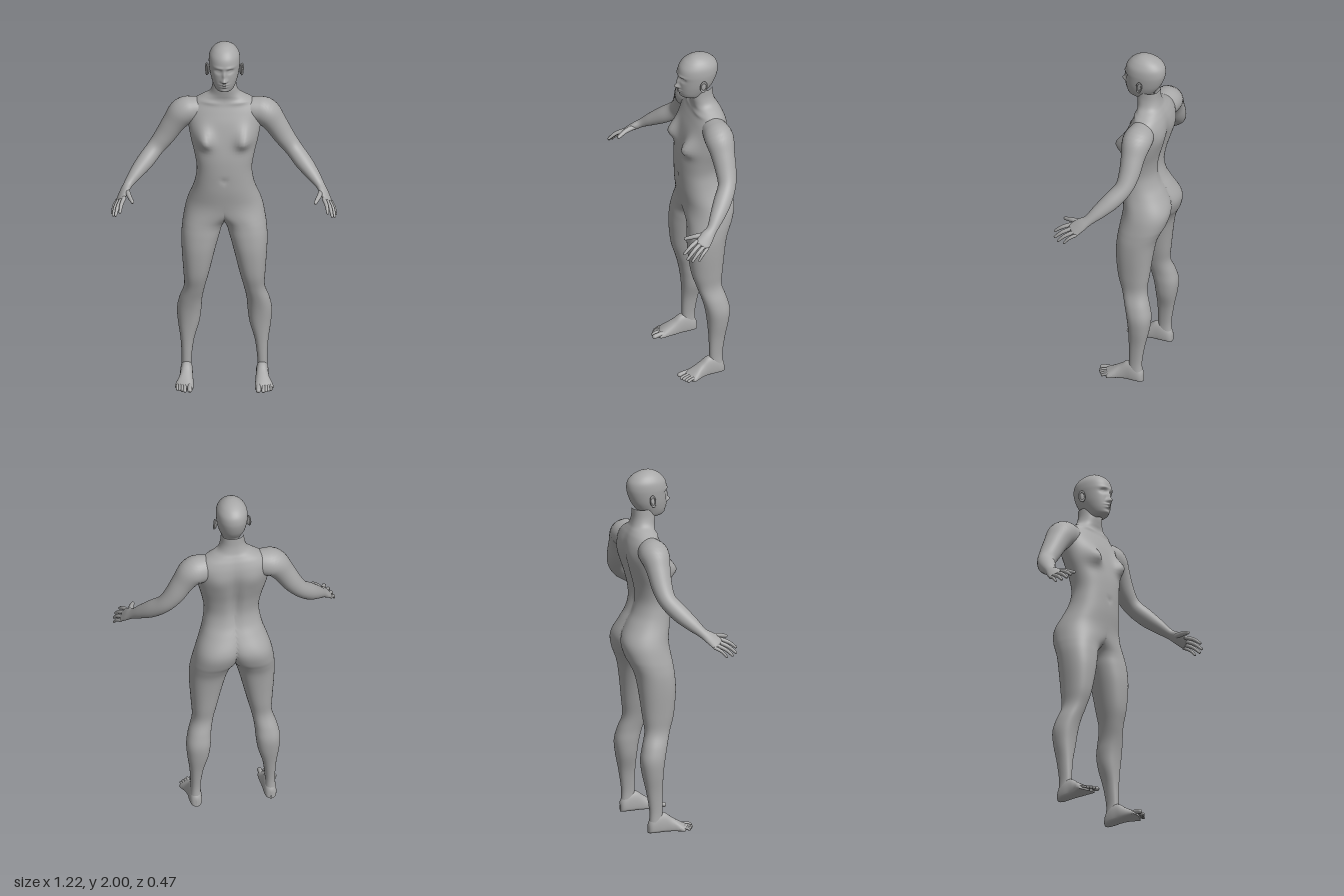
import * as THREE from 'three';

const skinMat = new THREE.MeshStandardMaterial({ color: 0xa8a8a8 });
skinMat.name = 'grey skin';

// Catmull-Rom interpolation of rows of numbers
function smooth(rows, steps) {
  const out = [], n = rows.length - 1;
  const at = (i) => rows[Math.min(n, Math.max(0, i))];
  for (let k = 0; k <= n * steps; k++) {
    const i = Math.min(n - 1, Math.floor(k / steps)), t = k / steps - i;
    out.push(rows[0].map((_, c) => {
      const a = at(i - 1)[c], b = at(i)[c], d = at(i + 1)[c], e = at(i + 2)[c];
      return b + 0.5 * t * (d - a + t * (2 * a - 5 * b + 4 * d - e + t * (3 * (b - d) + e - a)));
    }));
  }
  return out;
}

// Closed rings joined into one smooth surface; point(row, angle) gives [x, y, z]
function loft(rows, seg, point, keep = () => true) {
  const pos = [], idx = [];
  rows.forEach((r) => {
    for (let j = 0; j < seg; j++) pos.push(...point(r, (j / seg) * Math.PI * 2));
  });
  const tri = (a, b, c) => { if (keep(pos[a * 3], pos[b * 3], pos[c * 3])) idx.push(a, b, c); };
  for (let i = 0; i < rows.length - 1; i++) {
    for (let j = 0; j < seg; j++) {
      const a = i * seg + j, b = i * seg + ((j + 1) % seg);
      tri(a, a + seg, b);
      tri(b, a + seg, b + seg);
    }
  }
  const g = new THREE.BufferGeometry();
  g.setAttribute('position', new THREE.Float32BufferAttribute(pos, 3));
  g.setIndex(idx);
  g.computeVertexNormals();
  return g;
}

// Round-ended limb along rows of [x, y, z, radius along ref, radius across]
function limb(rows, ref, seg = 14, steps = 5) {
  const d = smooth(rows, steps), rings = [], last = d.length - 1;
  const P = (i) => new THREE.Vector3(...d[Math.min(last, Math.max(0, i))].slice(0, 3));
  const add = (i, push, scale) => {
    const T = P(i + 1).sub(P(i - 1)).normalize();
    const N = ref.clone().addScaledVector(T, -ref.dot(T)).normalize();
    const B = N.clone().cross(T);
    rings.push({ p: P(i).addScaledVector(T, push * d[i][4]), N, B, a: d[i][3] * scale, b: d[i][4] * scale });
  };
  const cap = [1.5, 1.2, 0.8, 0.4];
  cap.forEach((a) => add(0, -Math.sin(a), Math.cos(a)));
  d.forEach((_, i) => add(i, 0, 1));
  cap.reverse().forEach((a) => add(last, Math.sin(a), Math.cos(a)));
  return loft(rings, seg, (r, t) => r.p.clone()
    .addScaledVector(r.N, r.a * Math.cos(t)).addScaledVector(r.B, r.b * Math.sin(t)).toArray());
}

function mirrored(geo) {
  const g = geo.clone().scale(-1, 1, 1), ix = g.index.array;
  for (let i = 0; i < ix.length; i += 3) [ix[i], ix[i + 1]] = [ix[i + 1], ix[i]];
  return g;
}

const bell = (v, s) => Math.exp(-(v * v) / (s * s));
const pow = (v, p) => Math.sign(v) * Math.abs(v) ** p;

// Rows of [y, outer x, centre x of front, centre x of back, front z, back z]
const legRows = [
  [0.05, 0.236, 0.206, 0.206, -0.06, -0.135], [0.12, 0.232, 0.205, 0.205, -0.058, -0.132],
  [0.23, 0.238, 0.201, 0.201, -0.057, -0.148], [0.33, 0.252, 0.194, 0.194, -0.052, -0.168],
  [0.41, 0.257, 0.191, 0.191, -0.042, -0.176], [0.48, 0.244, 0.182, 0.182, -0.026, -0.162],
  [0.56, 0.219, 0.162, 0.162, -0.002, -0.141], [0.65, 0.222, 0.152, 0.152, 0.024, -0.15],
  [0.78, 0.231, 0.141, 0.141, 0.038, -0.165], [0.87, 0.233, 0.13, 0.13, 0.036, -0.18],
  [0.93, 0.228, 0.117, 0.117, 0.03, -0.203],
];
const torsoRows = [
  [0.97, 0.222, 0.092, 0.1, 0.028, -0.222], [1.03, 0.21, 0.03, 0.082, 0.03, -0.238],
  [1.08, 0.195, 0, 0.065, 0.036, -0.232], [1.15, 0.17, 0, 0.035, 0.046, -0.198],
  [1.21, 0.156, 0, 0.01, 0.05, -0.17], [1.28, 0.15, 0, 0, 0.052, -0.157],
  [1.36, 0.163, 0, 0, 0.048, -0.165], [1.45, 0.185, 0, 0, 0.032, -0.187],
  [1.54, 0.2, 0, 0, 0.01, -0.205], [1.6, 0.2, 0, 0, -0.012, -0.203],
  [1.645, 0.168, 0, 0, -0.03, -0.19], [1.675, 0.12, 0, 0, -0.036, -0.175],
  [1.7, 0.082, 0, 0, -0.032, -0.162], [1.74, 0.066, 0, 0, -0.026, -0.152],
  [1.79, 0.062, 0, 0, -0.03, -0.15],
];

// One leg running up into its half of the torso, cut at the middle plane
function halfBody() {
  const g = loft(smooth([...legRows, ...torsoRows], 5), 64, ([y, xo, cf, cb, zf, zb], t) => {
    const s = Math.sin(t), c = Math.max(0, s >= 0 ? cf : cb), zc = (zf + zb) / 2;
    const x = Math.max(0, c + (xo - c) * pow(Math.cos(t), 0.9));
    let z = zc + ((zf - zb) / 2) * pow(s, 0.9);
    if (s > 0) {
      z += s * 0.06 * bell(x - 0.112, 0.045) * bell(y - 1.452, y > 1.452 ? 0.065 : 0.04); // breast
      z -= 0.008 * bell(x, 0.014) * bell(y - 1.225, 0.016); // navel
      z += 0.006 * bell(y - 1.652 - x * 0.05, 0.011) * bell(x - 0.09, 0.06); // collarbone
    } else {
      z += 0.02 * bell(x, 0.03) * bell(y - 1.38, 0.2); // spine groove
      z -= 0.008 * bell(x - 0.1, 0.05) * bell(y - 1.53, 0.07); // shoulder blade
    }
    return [x, y, z];
  }, (a, b, c) => Math.max(a, b, c) > 1e-6);
  // Smooth shading across the middle plane
  const p = g.attributes.position, n = g.attributes.normal, v = new THREE.Vector3();
  for (let i = 0; i < p.count; i++) {
    if (p.getX(i) > 1e-6) continue;
    v.fromBufferAttribute(n, i).setX(0).normalize();
    n.setXYZ(i, v.x, v.y, v.z);
  }
  return g;
}

// Head rows: [y, half width, front z, back z]
const headRows = [
  [1.737, 0.028, -0.01, -0.09], [1.744, 0.042, 0.013, -0.105], [1.755, 0.051, 0.027, -0.113],
  [1.775, 0.06, 0.035, -0.122], [1.8, 0.069, 0.039, -0.142], [1.83, 0.077, 0.041, -0.16],
  [1.87, 0.083, 0.042, -0.175], [1.905, 0.085, 0.043, -0.181], [1.94, 0.08, 0.034, -0.175],
  [1.968, 0.064, 0.012, -0.152], [1.986, 0.044, -0.014, -0.122], [1.996, 0.023, -0.036, -0.092],
  [2, 0, -0.062, -0.062],
];
// Facial features: [x, y, width, height, depth]
const features = [
  [0, 1.821, 0.012, 0.013, 0.025], [0, 1.85, 0.009, 0.024, 0.013], [0.013, 1.818, 0.007, 0.007, 0.008],
  [0.033, 1.873, 0.017, 0.012, -0.014], [0.033, 1.872, 0.011, 0.006, 0.007], [0.03, 1.894, 0.026, 0.008, 0.006],
  [0, 1.798, 0.021, 0.006, 0.011], [0, 1.783, 0.018, 0.006, 0.01], [0, 1.756, 0.022, 0.011, 0.007],
];
function headGeometry() {
  return loft(smooth(headRows, 7), 96, ([y, w, zf, zb], t) => {
    const s = Math.sin(t), x = w * pow(Math.cos(t), 0.95);
    let z = (zf + zb) / 2 + ((zf - zb) / 2) * pow(s, 0.95);
    if (s > 0) for (const [fx, fy, sx, sy, d] of features) z += d * bell(Math.abs(x) - fx, sx) * bell(y - fy, sy);
    return [x, y, z];
  });
}

// Foot rows: [z, centre x, half width, height]
const footRows = [
  [-0.142, 0.205, 0.001, 0.04], [-0.137, 0.205, 0.02, 0.06], [-0.12, 0.205, 0.031, 0.085],
  [-0.085, 0.205, 0.035, 0.11], [-0.045, 0.205, 0.035, 0.106], [-0.01, 0.207, 0.039, 0.08],
  [0.03, 0.213, 0.046, 0.055], [0.065, 0.217, 0.05, 0.035], [0.08, 0.217, 0.044, 0.025], [0.086, 0.217, 0.001, 0.014],
];
const footGeometry = () => loft(smooth(footRows, 4), 32, ([z, cx, w, h], t) => {
  const s = -Math.sin(t);
  // The outer side stops further back than the inner side
  const x = cx + w * pow(Math.cos(t), 0.8);
  return [x, h * (s > 0 ? 0.3 + 0.7 * s : 0.3 + 0.3 * pow(s, 0.5)), z - Math.max(0, z) * Math.max(0, x - 0.2) * 5];
});

// Arm rows from shoulder to knuckles
const armRows = [
  [0.1, 1.598, -0.1, 0.056, 0.056], [0.17, 1.588, -0.108, 0.076, 0.072], [0.225, 1.573, -0.108, 0.08, 0.077],
  [0.275, 1.51, -0.108, 0.066, 0.063], [0.325, 1.43, -0.107, 0.057, 0.055], [0.375, 1.365, -0.093, 0.049, 0.047],
  [0.43, 1.305, -0.045, 0.049, 0.046], [0.48, 1.255, 0.005, 0.04, 0.036], [0.52, 1.212, 0.05, 0.029, 0.024],
  [0.54, 1.186, 0.085, 0.037, 0.02], [0.562, 1.154, 0.122, 0.041, 0.013],
];
// Fingers: [name, knuckle, tip, radius]
const fingers = [
  ['indexFinger', [0.541, 1.171, 0.146], [0.563, 1.123, 0.226], 0.0115],
  ['middleFinger', [0.556, 1.159, 0.133], [0.587, 1.1, 0.217], 0.0115],
  ['ringFinger', [0.57, 1.147, 0.117], [0.6, 1.09, 0.193], 0.011],
  ['littleFinger', [0.58, 1.137, 0.1], [0.606, 1.088, 0.157], 0.0095],
  ['thumb', [0.527, 1.192, 0.085], [0.496, 1.17, 0.195], 0.0145],
];

export function createModel() {
  const model = new THREE.Group();
  model.name = 'standingFigure';
  const add = (name, geo) => {
    const m = new THREE.Mesh(geo, skinMat);
    m.name = name;
    model.add(m);
  };
  const pair = (name, geo) => {
    add(name + 'Left', geo);
    add(name + 'Right', mirrored(geo));
  };
  const across = new THREE.Vector3(0.53, -0.5, -0.68), side = new THREE.Vector3(1, 0, 0);

  add('head', headGeometry());
  pair('torsoAndLeg', halfBody());
  pair('arm', limb(armRows, across, 32));
  pair('foot', footGeometry());

  // Ears: a thin shell with a raised rim
  const placeEar = (g) => g.rotateY(Math.PI / 2 - 0.35).rotateX(-0.15).translate(0.09, 1.845, -0.07);
  pair('ear', placeEar(new THREE.SphereGeometry(1, 20, 14).scale(0.016, 0.03, 0.008)));
  pair('earRim', placeEar(new THREE.TorusGeometry(0.016, 0.004, 8, 24).scale(1, 1.8, 1).translate(0, 0, 0.006)));

  // Slightly bent fingers and thumb
  fingers.forEach(([name, a, b, r]) => {
    const mid = a.map((v, i) => (v + b[i]) / 2 + [0.004, 0.005, 0.004][i]);
    pair(name, limb([[...a, r, r], [...mid, r * 0.9, r * 0.9], [...b, r * 0.65, r * 0.65]], across));
  });

  // Toes, from the big one outwards
  for (let i = 0; i < 5; i++) {
    const r = i ? 0.0105 - i * 0.0006 : 0.014;
    const x = i ? 0.199 + i * 0.0135 : 0.186, z = i ? 0.117 - i * 0.009 : 0.108;
    pair('toe' + (i + 1), limb([
      [x, 0.02, z - 0.055, r, r], [x, 0.02, z - 0.025, r * 0.9, r * 0.9], [x, r, z, r, r * 0.9],
    ], side));
  }
  return model;
}
